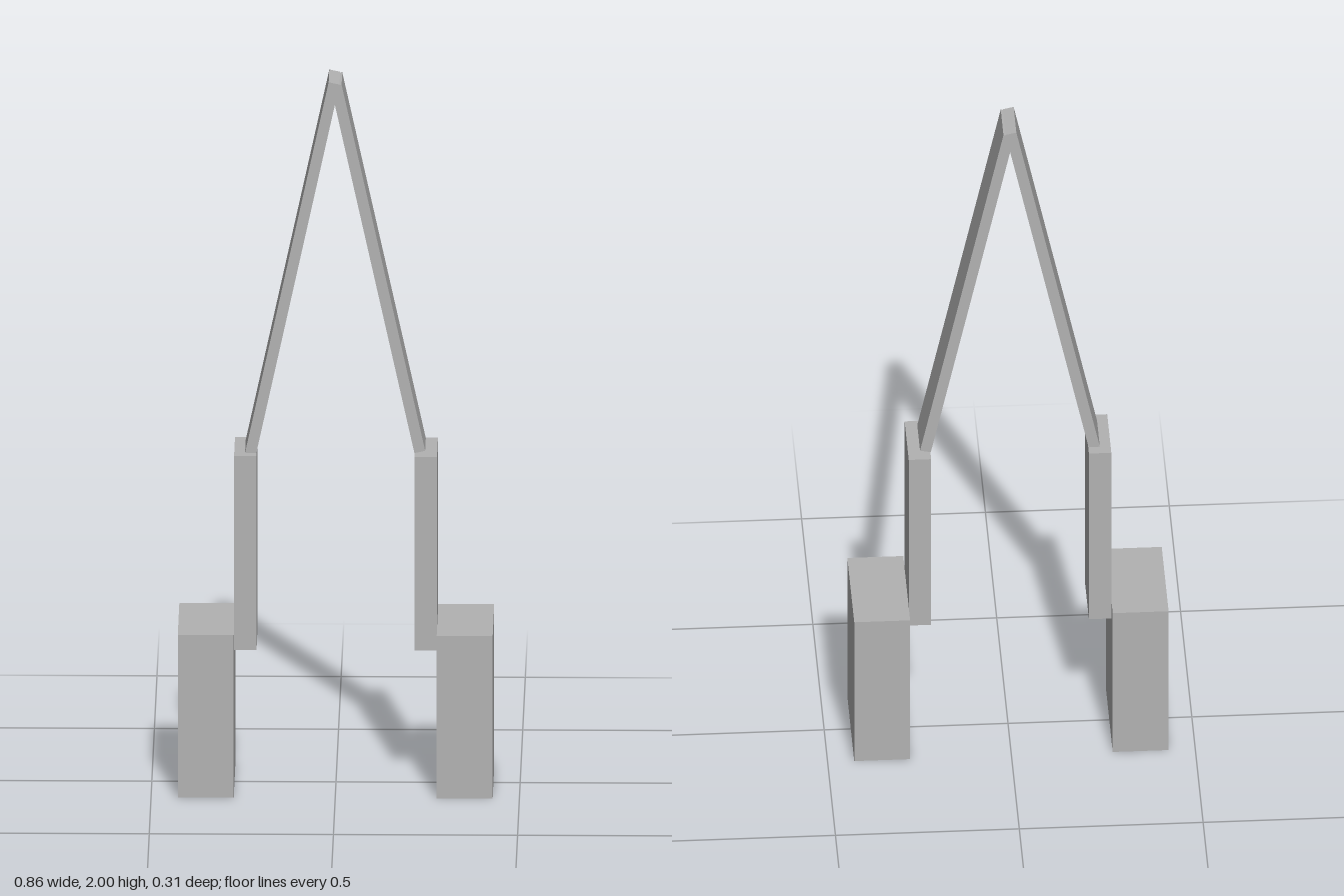
import * as THREE from 'three';

export function createModel() {
  const model = new THREE.Group();
  model.name = 'tongs';
  const grey = new THREE.MeshStandardMaterial({ color: 0xb2b2b2 });
  grey.name = 'plain grey';

  function box(name, w, h, d, x, y) {
    const mesh = new THREE.Mesh(new THREE.BoxGeometry(w, h, d), grey);
    mesh.name = name;
    mesh.position.set(x, y, 0);
    model.add(mesh);
    return mesh;
  }

  // Leaning arm, placed by the top and bottom corners of its outer face
  function arm(name, side, topX, topY, bottomX, bottomY) {
    const thickness = 0.03;
    const dx = bottomX - topX, dy = topY - bottomY;
    const tilt = Math.atan2(dx, dy);
    const mesh = box(name, thickness, Math.hypot(dx, dy), 0.122,
      side * ((topX + bottomX) / 2 - Math.cos(tilt) * thickness / 2),
      (topY + bottomY) / 2 - Math.sin(tilt) * thickness / 2);
    mesh.rotation.z = side * tilt;
  }

  // The right arm reaches slightly higher and overlaps the left one at the tip
  arm('leftArm', 1, 0.016, 1.993, 0.243, 0.957);
  arm('rightArm', -1, 0.019, 2.0, 0.246, 0.95);

  // Upright holders and the outer pads, mirrored
  for (const [label, side] of [['left', 1], ['right', -1]]) {
    box(label + 'Holder', 0.061, 0.549, 0.183, side * 0.245, 0.6745);
    box(label + 'Pad', 0.152, 0.46, 0.305, side * 0.3515, 0.23);
  }
  return model;
}
